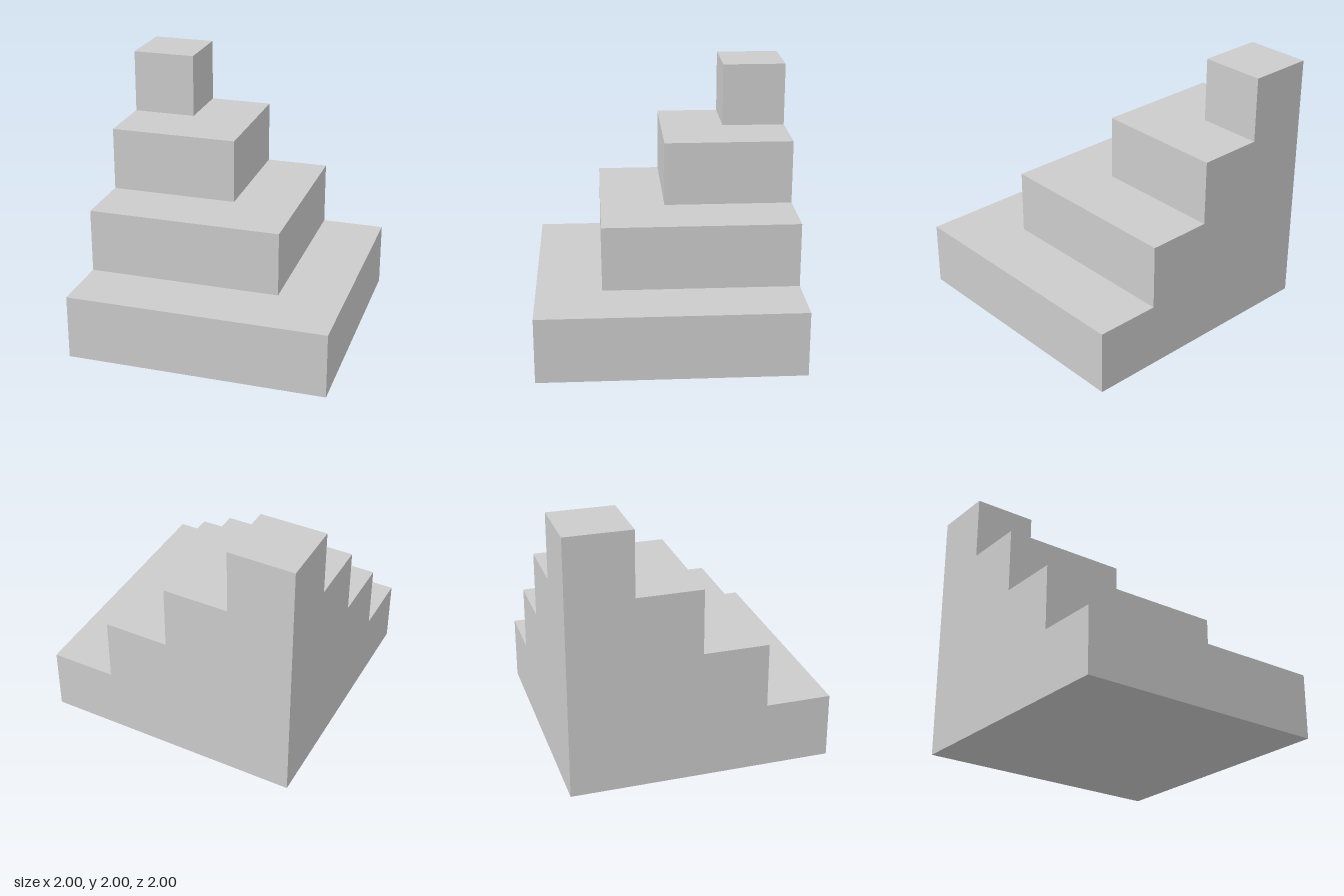
import * as THREE from 'three';

const STEP = 0.5; // rise and run of every step
const COUNT = 4;

export function createModel() {
  const model = new THREE.Group();
  model.name = 'cornerSteps';
  const material = new THREE.MeshStandardMaterial({ color: 0xcccccc, flatShading: true });

  // Square tiers, each smaller than the one below, all flush with the back right corner
  for (let i = 0; i < COUNT; i++) {
    const size = (COUNT - i) * STEP;
    const tier = new THREE.Mesh(new THREE.BoxGeometry(size, STEP, size), material);
    tier.name = `tier${i + 1}`;
    tier.position.set(-1 + size / 2, (i + 0.5) * STEP, -1 + size / 2);
    model.add(tier);
  }
  return model;
}
